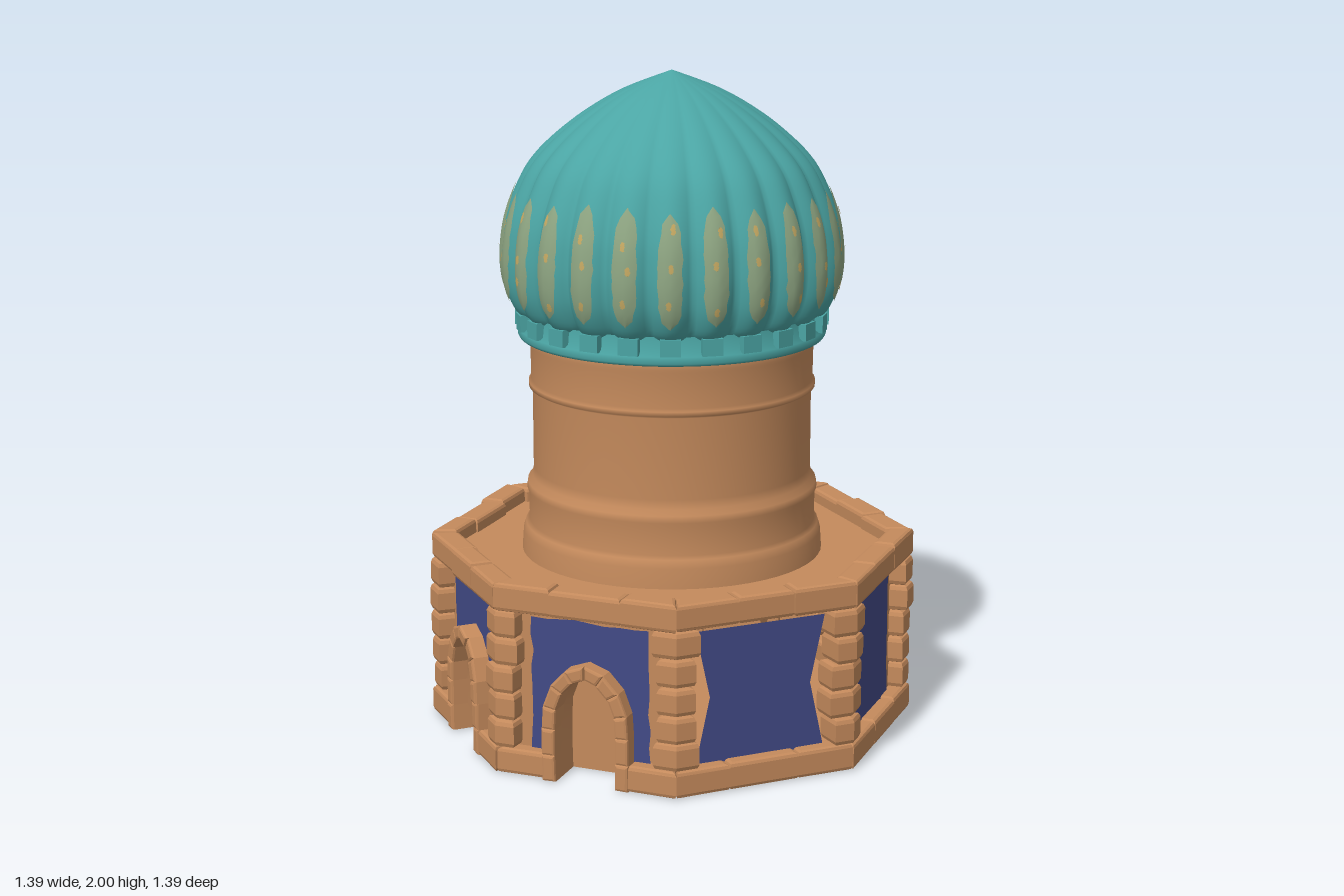
import * as THREE from 'three';

const mat = (name, color, side = THREE.FrontSide) => {
  const m = new THREE.MeshStandardMaterial({ color, side });
  m.name = name;
  return m;
};
const stone = mat('sandstone', 0xc48a5c, THREE.DoubleSide);
const teal = mat('teal glaze', 0x4ba5a4);
const blue = mat('blue tile', 0x424a86, THREE.DoubleSide);
const sage = mat('worn gilding', 0x8ea582);
const gold = mat('gold fleck', 0xc4a862);

let seed = 7;
const jitter = (a) => {
  seed = (seed * 16807) % 2147483647;
  return (seed / 2147483647 - 0.5) * 2 * a;
};
const V = (x, y) => new THREE.Vector2(x, y);
const T = Math.tan(Math.PI / 8);
const OUT = 0.693, IN = 0.61, DOORS = [0, 4, 7], BROKEN = [1, 3];

const add = (parent, name, geometry, material) => {
  const mesh = new THREE.Mesh(geometry, material);
  mesh.name = name;
  parent.add(mesh);
  return mesh;
};

// Bevelled extrusion of a closed outline
const slab = (pts, depth, b) => new THREE.ExtrudeGeometry(new THREE.Shape(pts), {
  depth: depth - 2 * b, bevelThickness: b, bevelSize: b, bevelOffset: -b, bevelSegments: 2, steps: 1,
}).translate(0, 0, b);

// Stone with a plan outline of [x, z] points, standing from y0 to y1
const block = (plan, y0, y1, b = 0.012) =>
  slab(plan.map(([x, z]) => V(x, -z)), y1 - y0, b).rotateX(-Math.PI / 2).translate(0, y0, 0);

// Point on side k of the octagon, in plan
const onSide = (k, x, z) => {
  const a = k * Math.PI / 4;
  return [x * Math.cos(a) + z * Math.sin(a), -x * Math.sin(a) + z * Math.cos(a)];
};

// Pointed arch centre line, left to right
const halfArch = [[0.113, 0], [0.115, 0.08], [0.115, 0.16], [0.111, 0.225], [0.088, 0.285], [0.048, 0.328]];
const arch = [...halfArch.map(([x, y]) => V(-x, y)), V(0, 0.346), ...halfArch.map(([x, y]) => V(x, y)).reverse()];
const archOffset = (d) => arch.map((p, i) => {
  const t = arch[Math.min(i + 1, 12)].clone().sub(arch[Math.max(i - 1, 0)]).normalize();
  return V(p.x - t.y * d, p.y + t.x * d);
});

// Upright panel, with an optional arched notch, a pinched waist and ragged edges
function panel(hw, y0, y1, { door = false, pinch = 0, ragged = 0 } = {}) {
  const pts = [], n = 8, r = () => jitter(ragged);
  const waist = (t) => hw - pinch * (1 - Math.abs(2 * t - 1));
  for (let i = 0; i <= n; i++) pts.push(V(-waist(i / n) + r(), y0 + (y1 - y0) * i / n));
  for (let i = 1; i < n; i++) pts.push(V(-hw + 2 * hw * i / n, y1 + r()));
  for (let i = n; i >= 0; i--) pts.push(V(waist(i / n) + r(), y0 + (y1 - y0) * i / n));
  if (door) {
    const inner = archOffset(-0.01).filter((p) => p.y > y0 + 0.01);
    pts.push(V(0.103, y0), ...inner.reverse(), V(-0.103, y0));
  }
  return new THREE.ShapeGeometry(new THREE.Shape(pts));
}

function band(side, name, y0, y1, door) {
  const e = 0.09;
  const cuts = door ? [[-1, -0.45], [0.45, 1]] : [[-1, -0.35 + jitter(e)], [0, 0.35 + jitter(e)], [0, 1]];
  if (!door) { cuts[1][0] = cuts[0][1]; cuts[2][0] = cuts[1][1]; }
  for (const [a, b] of cuts) {
    const z = OUT - Math.abs(jitter(0.012)), zi = IN + jitter(0.008);
    const inner = (t) => (Math.abs(t) === 1 ? t * zi * T : t * OUT * T);
    add(side, name, block([[a * z * T, z], [b * z * T, z], [inner(b), zi], [inner(a), zi]],
      y0, y1 + jitter(0.004)), stone);
  }
}

function doorway(side) {
  const outer = archOffset(0.021), inner = archOffset(-0.021);
  for (let i = 0; i < 12; i++) {
    const s = slab([inner[i], inner[i + 1], outer[i + 1], outer[i]], 0.075 + jitter(0.005), 0.008);
    add(side, 'archStone', s.translate(0, 0, 0.618), stone);
  }
  // Recess sides and back
  const reveal = new THREE.PlaneGeometry(1, 1, 12, 1), p = reveal.attributes.position;
  for (let i = 0; i < p.count; i++) p.setXYZ(i, inner[i % 13].x, inner[i % 13].y, i < 13 ? 0.64 : 0.56);
  reveal.computeVertexNormals();
  add(side, 'doorReveal', reveal, stone);
  add(side, 'doorBack', new THREE.ShapeGeometry(new THREE.Shape(inner)).translate(0, 0, 0.56), stone);
}

function buildBase(root) {
  const base = new THREE.Group();
  base.name = 'octagonalBase';
  root.add(base);
  const floorPts = [], roofPts = [];
  for (let k = 0; k < 8; k++) {
    const side = new THREE.Group(), door = DOORS.includes(k), broken = BROKEN.includes(k);
    side.name = 'wallSide';
    side.rotation.y = k * Math.PI / 4;
    base.add(side);
    band(side, 'plinthStone', 0, 0.08, door);
    band(side, 'parapetStone', 0.5, 0.583, false);
    if (!broken) add(side, 'wall', panel(0.26, 0.02, 0.53, { door }).translate(0, 0, 0.636), stone);
    add(side, 'tilePanel', panel(broken ? 0.205 : 0.183, 0.075, 0.482,
      { door, pinch: broken ? 0.045 : 0, ragged: broken ? 0 : 0.006 }).translate(0, 0, 0.642), blue);
    if (door) doorway(side);

    // Corner pillar of stacked stones
    for (let i = 0; i < 5; i++) {
      const y = 0.08 + i * 0.084, z = OUT - 0.006 + jitter(0.006), w = 0.068 + jitter(0.008);
      const c = z * T, ci = 0.6 * T;
      const plan = [onSide(0, c - w, z), onSide(0, c, z), onSide(1, w - c, z),
        onSide(1, w - ci - 0.03, 0.6), onSide(0, ci, 0.6), onSide(0, ci - w + 0.03, 0.6)];
      add(side, 'pillarStone', block(plan, y, y + 0.084, 0.016), stone);
    }

    floorPts.push(onSide(k, -0.67 * T, 0.67));
    if (door) floorPts.push(...[[-0.094, 0.67], [-0.094, 0.56], [0.094, 0.56], [0.094, 0.67]].map(([x, z]) => onSide(k, x, z)));
    roofPts.push(onSide(k, -0.63 * T, 0.63));
  }
  const flat = (pts, y, hole) => {
    const s = new THREE.Shape(pts.map(([x, z]) => V(x, -z)));
    if (hole) s.holes.push(new THREE.Path().absarc(0, 0, hole, 0, Math.PI * 2, true));
    return new THREE.ShapeGeometry(s, 32).rotateX(-Math.PI / 2).translate(0, y, 0);
  };
  add(base, 'floor', flat(floorPts, 0.012), stone);
  add(base, 'roof', flat(roofPts, 0.54, 0.42), stone);
}

// Dome outline and its 24 lobes
const LOBES = 24, START = Math.PI / 30;
const outline = new THREE.SplineCurve([[0.445, 1.27], [0.478, 1.3], [0.505, 1.36], [0.514, 1.43], [0.51, 1.5],
  [0.497, 1.57], [0.468, 1.65], [0.425, 1.73], [0.36, 1.8], [0.268, 1.872], [0.148, 1.942], [0, 2]].map(([r, y]) => V(r, y)));
function domePoint(theta, t, lift = 0) {
  const p = outline.getPoint(t);
  const groove = 0.075 * Math.pow(1 - t, 0.7) * (1 - Math.abs(Math.cos((theta - START) * LOBES / 2)));
  const r = p.x * (1 - groove) + lift;
  return [r * Math.sin(theta), p.y, r * Math.cos(theta)];
}
function domeSurface(nu, nv, map) {
  const g = new THREE.PlaneGeometry(1, 1, nu, nv), p = g.attributes.position;
  for (let i = 0; i < p.count; i++) p.setXYZ(i, ...map(p.getX(i) * 2, p.getY(i) + 0.5));
  g.computeVertexNormals();
  return g;
}
// Rounded patch lying on a lobe
const patch = (theta, w, t0, t1, lift, rough) => domeSurface(4, 14, (u, v) => {
  const half = w * Math.pow(Math.max(0, 1 - Math.pow(Math.abs(2 * v - 1), 3)), 0.5);
  return domePoint(theta + u * half + (u ? jitter(rough) : 0), t0 + (t1 - t0) * v, lift);
});

function buildDome(root) {
  const dome = new THREE.Group();
  dome.name = 'dome';
  root.add(dome);
  add(dome, 'domeShell', domeSurface(LOBES * 10, 44, (u, v) => domePoint(u * Math.PI + START + Math.PI / LOBES, v)), teal);
  add(dome, 'domeCollar', new THREE.LatheGeometry([V(0.41, 1.205), V(0.46, 1.207), V(0.465, 1.215), V(0.465, 1.235),
    V(0.452, 1.245), V(0.447, 1.29)], 64), teal);
  for (let i = 0; i < LOBES; i++) {
    const a = START + i * Math.PI * 2 / LOBES;
    const tooth = add(dome, 'collarTooth', new THREE.BoxGeometry(0.06, 0.05, 0.05), teal);
    tooth.position.set(0.447 * Math.sin(a), 1.262, 0.447 * Math.cos(a));
    tooth.rotation.y = a;
    add(dome, 'gildedPatch', patch(a, 0.072, 0.135 + jitter(0.008), 0.555 + jitter(0.012), 0.004, 0.006), sage);
    for (const t of [0.2, 0.33, 0.45]) {
      const t0 = t + jitter(0.04);
      add(dome, 'goldFleck', patch(a + jitter(0.03), 0.014, t0, t0 + 0.035, 0.007, 0.004), gold);
    }
  }
}

function buildTower(root) {
  const profile = [[0.46, 0.53], [0.455, 0.6], [0.447, 0.625], [0.436, 0.635], [0.437, 0.72], [0.443, 0.735], [0.44, 0.755],
    [0.425, 0.772], [0.422, 0.8], [0.422, 1.045], [0.434, 1.052], [0.434, 1.066], [0.426, 1.074], [0.428, 1.18], [0.436, 1.19], [0.43, 1.21]];
  add(root, 'towerDrum', new THREE.LatheGeometry(profile.map(([r, y]) => V(r, y)), 56), stone);
}

export function createModel() {
  const root = new THREE.Group();
  root.name = 'domedTower';
  buildBase(root);
  buildTower(root);
  buildDome(root);
  return root;
}
